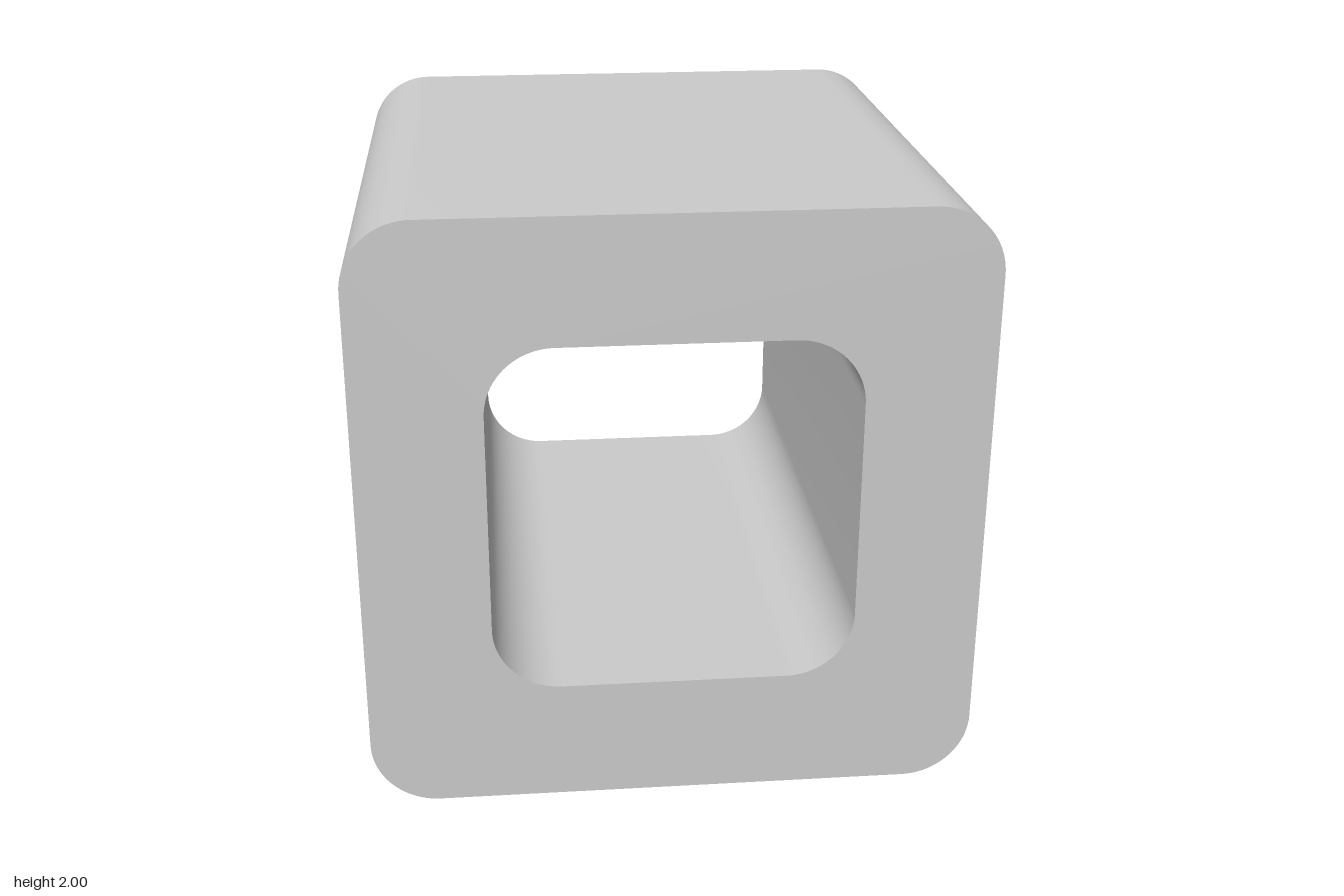
import * as THREE from 'three';
import { toCreasedNormals } from 'three/addons/utils/BufferGeometryUtils.js';

// Rounded square centred on the origin, drawn onto a Shape or Path
function roundedSquare(path, half, radius) {
  const c = half - radius;
  const corners = [[c, c], [-c, c], [-c, -c], [c, -c]];
  path.moveTo(half, -c);
  corners.forEach(([x, y], i) => {
    const start = i * Math.PI / 2;
    path.lineTo(x + radius * Math.cos(start), y + radius * Math.sin(start));
    path.absarc(x, y, radius, start, start + Math.PI / 2, false);
  });
  path.closePath();
  return path;
}

export function createModel() {
  const group = new THREE.Group();
  group.name = 'squareTube';

  // Square tube: rounded outer profile with a rounded through hole
  const profile = roundedSquare(new THREE.Shape(), 1, 0.22);
  profile.holes.push(roundedSquare(new THREE.Path(), 0.59, 0.22));
  const extruded = new THREE.ExtrudeGeometry(profile, {
    depth: 2, bevelEnabled: false, curveSegments: 10,
  });
  extruded.translate(0, 1, -1);

  // Smooth corners, sharp rims
  const tube = new THREE.Mesh(
    toCreasedNormals(extruded, Math.PI / 6),
    new THREE.MeshStandardMaterial({ color: 0xcccccc }),
  );
  tube.name = 'tubeBody';
  group.add(tube);
  return group;
}
